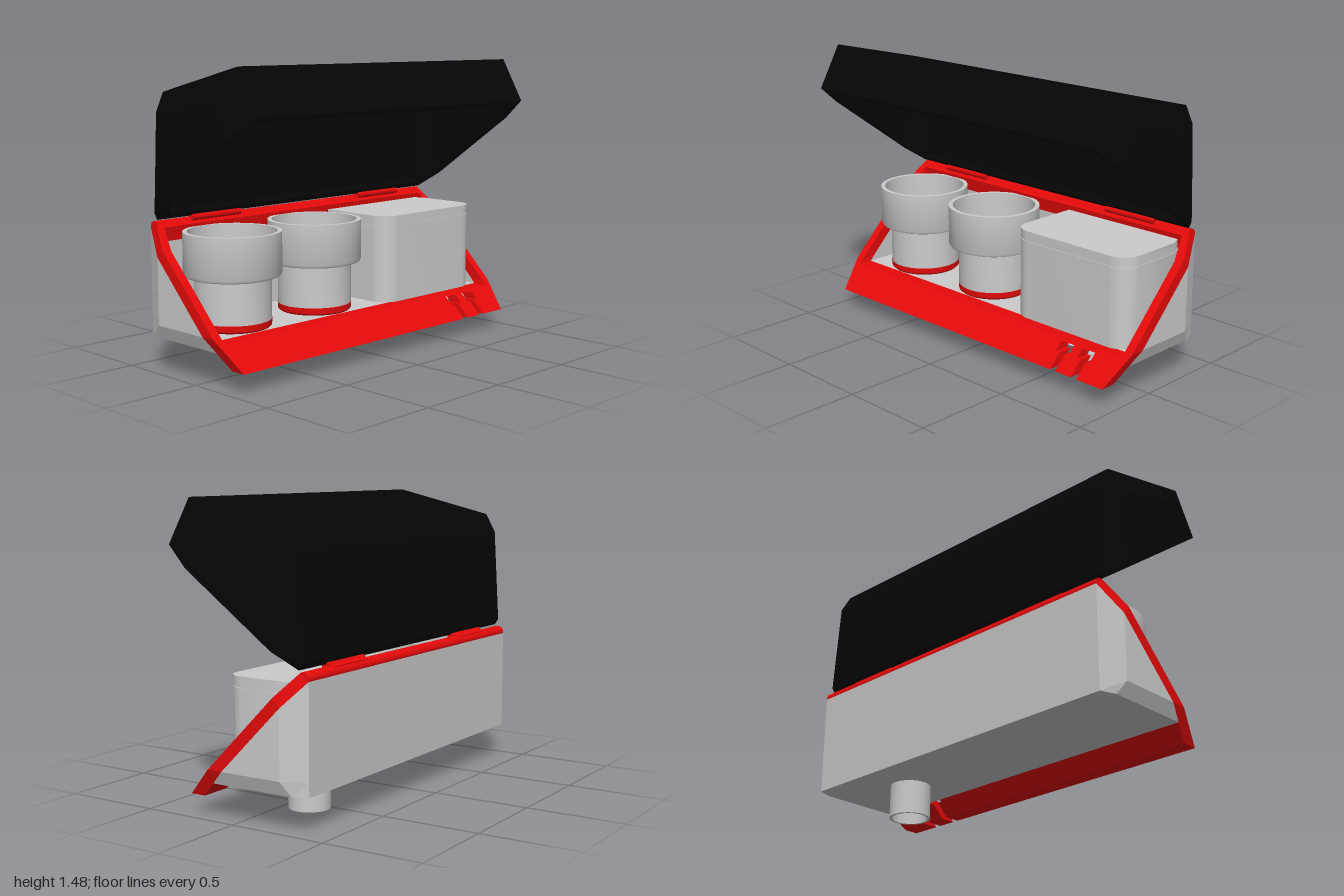
import * as THREE from 'three';
import { toCreasedNormals } from 'three/addons/utils/BufferGeometryUtils.js';

const mat = (color) => new THREE.MeshStandardMaterial({ color, side: THREE.DoubleSide });
const GREY = mat(0xcccccc), RED = mat(0xe60a0a), BLACK = mat(0x050505);

function add(parent, name, geometry, material, x = 0, y = 0, z = 0) {
  const mesh = new THREE.Mesh(geometry, material);
  mesh.name = name;
  mesh.position.set(x, y, z);
  parent.add(mesh);
  return mesh;
}

// Flat-shaded geometry from convex polygons
function fromPolygons(polygons) {
  const pos = [];
  for (const p of polygons)
    for (let i = 1; i < p.length - 1; i++) pos.push(...p[0], ...p[i], ...p[i + 1]);
  const g = new THREE.BufferGeometry();
  g.setAttribute('position', new THREE.Float32BufferAttribute(pos, 3));
  g.computeVertexNormals();
  return g;
}

// Quads between successive open rows of points
function loft(rows) {
  const quads = [];
  for (let r = 0; r < rows.length - 1; r++)
    for (let i = 0; i < rows[r].length - 1; i++)
      quads.push([rows[r][i], rows[r][i + 1], rows[r + 1][i + 1], rows[r + 1][i]]);
  return quads;
}

// Tray: a chamfered box cut by a 45 degree plane, with an inner skin
function trayGeometry() {
  const ring = ([y, x, front, corner, xBack, back]) => {
    const half = [[x, y, front], [x, y, corner], [xBack, y, back]];
    return [...half, ...half.map(([a, b, c]) => [-a, b, c]).reverse()];
  };
  const outer = [
    [0.171, 0.973, 0.129, -0.315, 0.945, -0.392],
    [0.24, 1, 0.06, -0.27, 0.945, -0.392],
    [0.57, 1, -0.27, -0.27, 0.945, -0.392],
    [0.692, 0.945, -0.392, -0.392, 0.945, -0.392],
  ].map(ring);
  const inner = [
    [0.215, 0.955, 0.085, -0.26, 0.92, -0.365],
    [0.55, 0.955, -0.25, -0.26, 0.92, -0.365],
    [0.665, 0.92, -0.365, -0.365, 0.92, -0.365],
  ].map(ring);
  const b = outer[0], f = inner[0];
  return fromPolygons([
    ...loft(outer), ...loft(inner.reverse()),
    b, [...f].reverse(),
    [b[0], f[0], f[5], b[5]],
  ]);
}

// Sloping frame: octagon with an opening and two T slots, sheared to 45 degrees
function frameGeometry() {
  const pts = [[-0.945, 0.096]];
  for (const c of [0.635, 0.767])
    pts.push([c - 0.017, 0.096], [c - 0.017, 0.162], [c - 0.04, 0.162], [c - 0.04, 0.205],
      [c + 0.04, 0.205], [c + 0.04, 0.162], [c + 0.017, 0.162], [c + 0.017, 0.096]);
  pts.push([0.945, 0.096], [1, 0.24], [1, 0.615], [0.945, 0.73],
    [-0.945, 0.73], [-1, 0.615], [-1, 0.24]);
  const v2 = (list) => list.map(([x, y]) => new THREE.Vector2(x, y));
  const shape = new THREE.Shape(v2(pts));
  shape.holes.push(new THREE.Path(v2([[-0.95, 0.215], [-0.955, 0.24], [-0.955, 0.6], [-0.92, 0.7],
    [0.92, 0.7], [0.955, 0.6], [0.955, 0.24], [0.95, 0.215]])));
  const g = new THREE.ExtrudeGeometry(shape, { depth: 0.08, bevelEnabled: false });
  const p = g.attributes.position;
  for (let i = 0; i < p.count; i++) {
    let y = p.getY(i);
    const lower = p.getZ(i) < 0.04;
    // the underside drops back at the top so the lip has a nose and an upright inner wall
    if (lower && y > 0.72) y = 0.69;
    else if (lower && y > 0.69) y = 0.63;
    else if (lower && y > 0.61) y -= 0.045;
    p.setXYZ(i, p.getX(i), y, (lower ? 0.3 : 0.38) - y);
  }
  g.computeVertexNormals();
  return g;
}

// Open lid: profiles in the plane of its mouth (u along it, v away from it)
function lidGeometry() {
  const full = [[0, 0], [0.001, 0.036], [0.31, 0.417], [0.41, 0.463], [0.929, 0.252], [0.903, 0]];
  const end = [[0.138, 0], [0.144, 0.015], [0.3, 0.29], [0.4, 0.325], [0.74, 0.21], [0.73, 0]];
  const place = (profile, x, s) => profile.map(([u, v]) => {
    u = 0.45 + (u - 0.45) * s;
    v *= s;
    return [x, 0.738 + 0.581 * u + 0.814 * v, -0.34 + 0.814 * u - 0.581 * v];
  });
  const skin = (s, t) => [
    place(end, -1 + t, s), place(full, -0.945 + t, s), place(full, 0.945 - t, s), place(end, 1 - t, s)];
  const outer = skin(1, 0), inner = skin(0.9, 0.045);
  const polys = [...loft(outer), ...loft([...inner].reverse())];
  for (const s of [outer, inner]) polys.push([...s[0]].reverse(), s[3]);
  // rim joining both skins around the mouth
  const mouth = (s) => [...s.map((r) => r[0]), ...s.map((r) => r[5]).reverse(), s[0][0]];
  polys.push(...loft([mouth(outer), mouth(inner)]));
  return fromPolygons(polys);
}

function lathe(profile) {
  const pts = profile.map(([r, y]) => new THREE.Vector2(r, y));
  return toCreasedNormals(new THREE.LatheGeometry(pts, 56), 0.6);
}

const rod = (radius, length) =>
  new THREE.CylinderGeometry(radius, radius, length, 24).rotateZ(Math.PI / 2);

// Footprint with rounded front corners, extruded upward from y0 to y1
function boxGeometry(y0, y1, inset = 0) {
  const l = 0.19 + inset, r = 0.918 - inset, front = -0.1 + inset, back = 0.33 - inset, c = 0.1;
  const s = new THREE.Shape();
  s.moveTo(l, back);
  s.lineTo(l, front + c);
  s.absarc(l + c, front + c, c, Math.PI, Math.PI * 1.5, false);
  s.absarc(r - c, front + c, c, Math.PI * 1.5, Math.PI * 2, false);
  s.lineTo(r, back - 0.06);
  s.lineTo(r - 0.03, back);
  s.closePath();
  const g = new THREE.ExtrudeGeometry(s, { depth: y1 - y0, bevelEnabled: false, curveSegments: 10 });
  g.rotateX(-Math.PI / 2);
  g.translate(0, y0, 0);
  return toCreasedNormals(g, 0.6);
}

export function createModel() {
  const model = new THREE.Group();
  model.name = 'storageCase';

  add(model, 'tray', trayGeometry(), GREY);
  add(model, 'frame', frameGeometry(), RED);
  add(model, 'frameNose', rod(0.031, 1.89), RED, 0, 0.699, -0.361);
  add(model, 'lid', lidGeometry(), BLACK);

  // Hinges
  for (const x of [-0.585, 0.585]) {
    const hinge = new THREE.Group();
    hinge.name = 'hinge';
    model.add(hinge);
    const plate = new THREE.BoxGeometry(0.28, 0.03, 0.045);
    add(hinge, 'hingePlate', plate, RED, x, 0.722, -0.353).rotation.x = -0.35;
    add(hinge, 'hingeBarrel', rod(0.018, 0.31), RED, x, 0.73, -0.338);
  }

  // Stepped cup holders with red feet
  const cup = lathe([[0, 0.255], [0.188, 0.255], [0.188, 0.465], [0.222, 0.465], [0.234, 0.47],
    [0.24, 0.482], [0.24, 0.685], [0.218, 0.685], [0.218, 0.49], [0.166, 0.49], [0.166, 0.275], [0, 0.275]]);
  const foot = lathe([[0, 0.216], [0.178, 0.216], [0.188, 0.225], [0.19, 0.255], [0, 0.255]]);
  for (const x of [-0.683, -0.136]) {
    add(model, 'cupHolder', cup, GREY, x, 0, -0.095);
    add(model, 'cupFoot', foot, RED, x, 0, -0.095);
  }

  // Storage box with a fine seam below its cover
  add(model, 'storageBox', boxGeometry(0.215, 0.622), GREY);
  add(model, 'boxSeam', boxGeometry(0.622, 0.626, 0.004), GREY);
  add(model, 'boxCover', boxGeometry(0.626, 0.675), GREY);

  // Hollow outlet pipe under the tray
  add(model, 'outletPipe',
    lathe([[0.103, 0.172], [0.103, 0], [0.09, 0], [0.09, 0.165], [0, 0.165]]), GREY, 0.553, 0, -0.118);

  return model;
}
